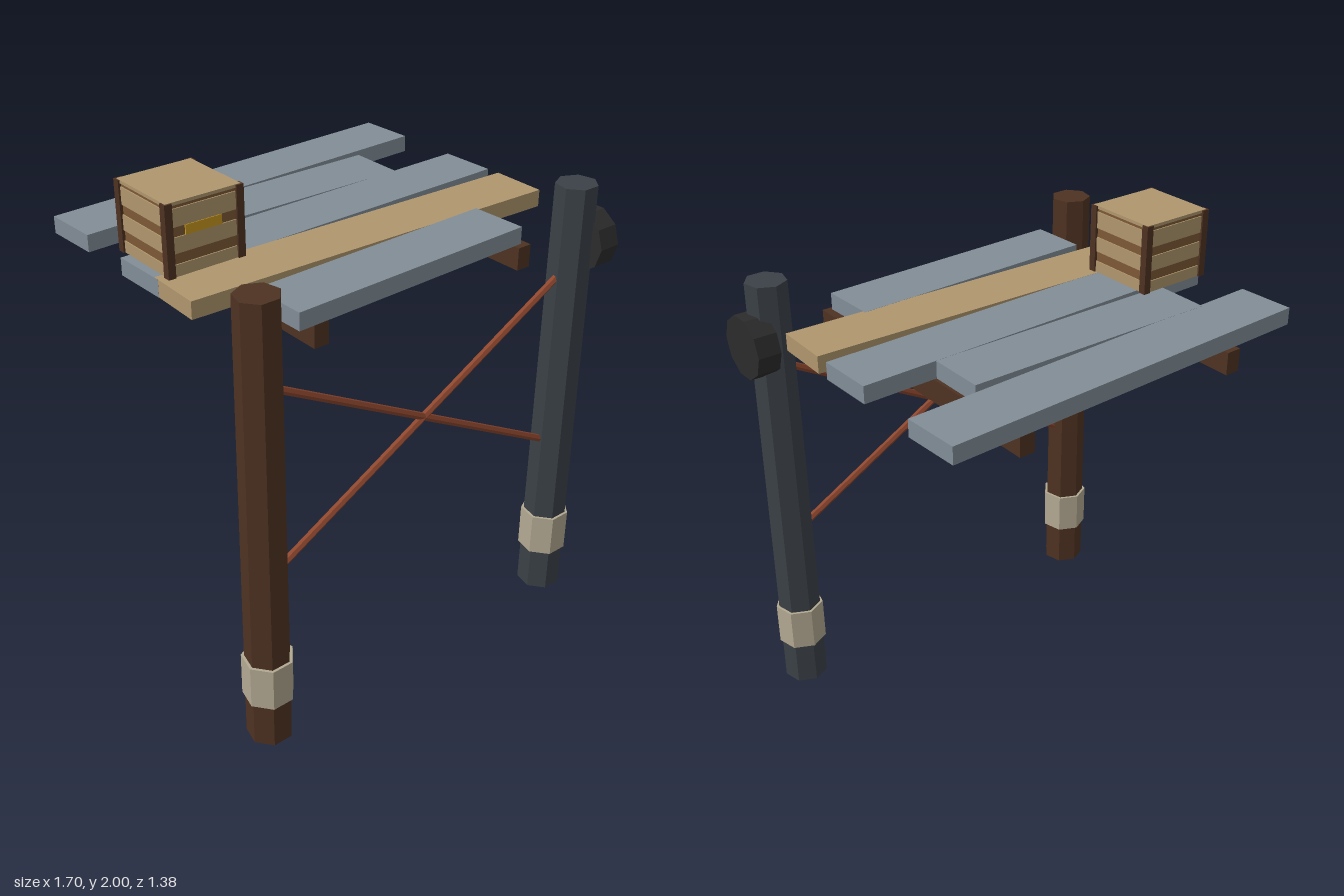
import * as THREE from 'three';

function material(name, color) {
  const m = new THREE.MeshStandardMaterial({ color, flatShading: true });
  m.name = name;
  return m;
}

export function createModel() {
  const darkWood = material('dark wood', 0x4e3222);
  const slate = material('slate', 0x3b4147);
  const band = material('pale band', 0xb3a992);
  const rust = material('rust', 0x8c462d);
  const greyWood = material('weathered plank', 0x828d97);
  const tan = material('tan wood', 0xb0966d);
  const slatBrown = material('crate brown', 0x7d5836);
  const gold = material('gold', 0xc8981f);
  const black = material('charcoal', 0x2c2c2c);

  const model = new THREE.Group();
  model.name = 'dockPlatform';

  function add(parent, name, geometry, mat, x, y, z) {
    const mesh = new THREE.Mesh(geometry, mat);
    mesh.name = name;
    mesh.position.set(x, y, z);
    parent.add(mesh);
    return mesh;
  }
  // Box given by its bottom and top heights
  function slab(parent, name, mat, w, d, y0, y1, x, z) {
    return add(parent, name, new THREE.BoxGeometry(w, y1 - y0, d), mat, x, (y0 + y1) / 2, z);
  }
  // Seven-sided upright with a flat side to the front
  const heptagon = (rTop, rBottom, h) =>
    new THREE.CylinderGeometry(rTop, rBottom, h, 7, 1, false, Math.PI);

  // Posts with their bands
  const postZ = 0.562, rightX = -0.7515, leftX = 0.724;
  for (const [side, x, mat] of [['right', rightX, darkWood], ['left', leftX, slate]]) {
    add(model, side + 'Post', heptagon(0.082, 0.09, 1.845), mat, x, 0.9225, postZ);
    add(model, side + 'PostBand', heptagon(0.1, 0.1, 0.18), band, x, 0.28, postZ);
  }

  // Fender disc on the outside of the left post
  add(model, 'fenderDisc', new THREE.CylinderGeometry(0.127, 0.127, 0.095, 10).rotateZ(Math.PI / 2),
    black, 0.8, 1.603, postZ);

  // Crossed braces between the posts
  const span = leftX - rightX, rise = 0.805;
  for (const s of [-1, 1]) {
    const brace = add(model, 'crossBrace',
      new THREE.CylinderGeometry(0.015, 0.015, Math.hypot(span, rise), 6).rotateZ(Math.PI / 2),
      rust, (leftX + rightX) / 2, 1.11, postZ);
    brace.rotation.z = s * Math.atan2(rise, span);
  }

  // Beams under the deck
  for (const x of [-0.494, 0.464])
    slab(model, 'deckBeam', darkWood, 0.061, 1.23, 1.57, 1.66, x, -0.052);

  // Deck planks, each laid slightly askew: x, z, length, turn, material
  const planks = [
    [-0.014, -0.5475, 1.6, 0.0385, greyWood],
    [-0.045, -0.3, 1.055, -0.009, greyWood],
    [-0.015, -0.056, 1.6, 0.02, greyWood],
    [-0.015, 0.192, 1.6, -0.0294, tan],
    [-0.067, 0.44, 1.058, 0.0285, greyWood],
  ];
  planks.forEach(([x, z, length, turn, mat], i) => {
    const lift = i * 0.0005;
    slab(model, 'deckPlank', mat, length, 0.232, 1.66 + lift, 1.728 + lift, x, z).rotation.y = turn;
  });

  // Crate: recessed core, boards around it, corner posts and a plate in the front gap
  const crate = new THREE.Group();
  crate.name = 'crate';
  crate.position.set(-0.628, 0, -0.052);
  model.add(crate);
  slab(crate, 'crateCore', slatBrown, 0.297, 0.297, 1.732, 1.995, 0, 0);
  for (const [y0, y1] of [[1.729, 1.774], [1.814, 1.873], [1.91, 1.976], [1.988, 2.0]])
    slab(crate, 'crateBoard', tan, 0.306, 0.306, y0, y1, 0, 0);
  for (const sx of [-1, 1])
    for (const sz of [-1, 1])
      slab(crate, 'crateCorner', darkWood, 0.03, 0.03, 1.729, 1.999, sx * 0.145, sz * 0.145);
  slab(crate, 'cratePlate', gold, 0.148, 0.006, 1.873, 1.909, -0.004, 0.151);

  return model;
}
